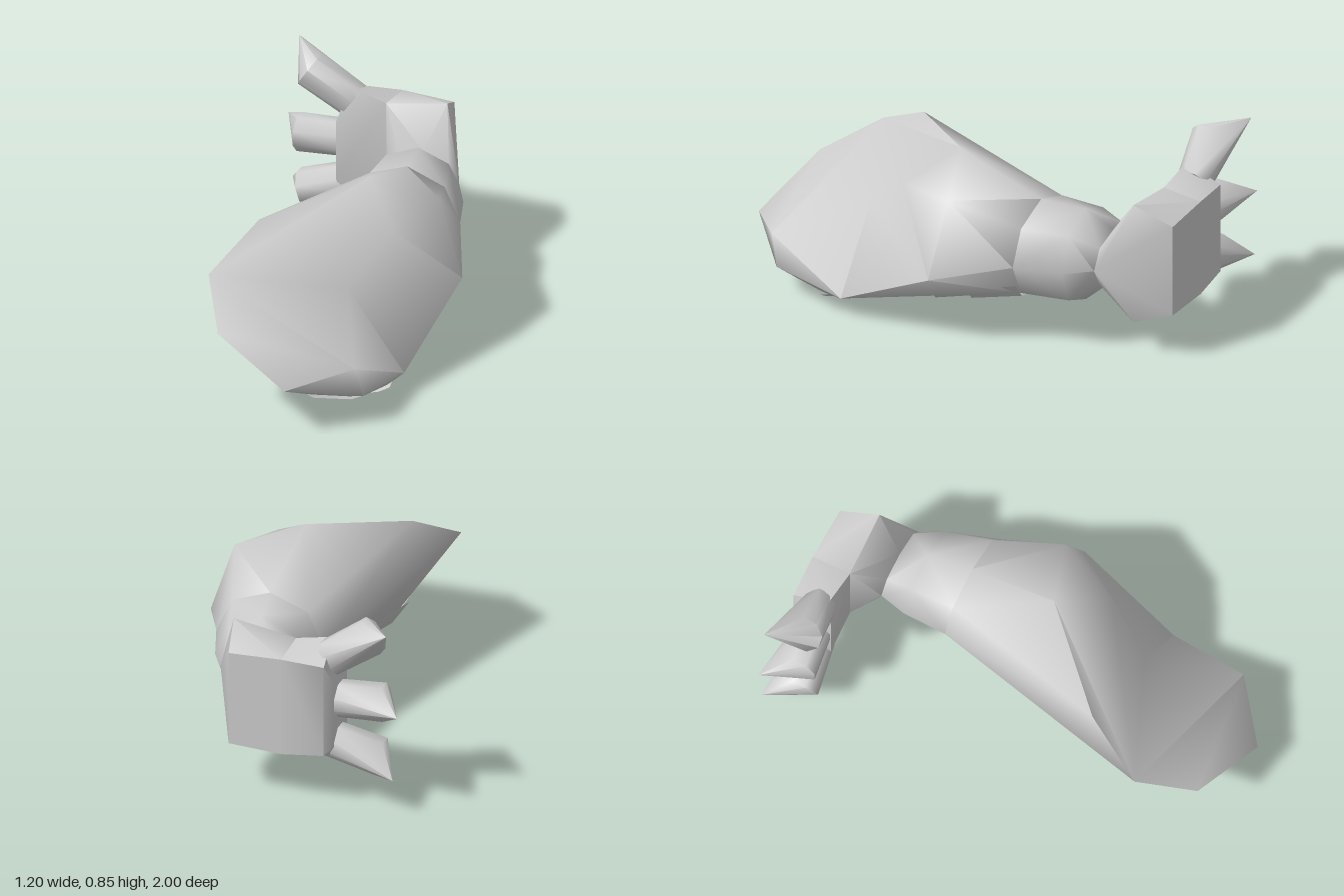
import * as THREE from 'three';
import { ConvexGeometry } from 'three/addons/geometries/ConvexGeometry.js';
import { mergeVertices, toCreasedNormals } from 'three/addons/utils/BufferGeometryUtils.js';

const V = (x, y, z) => new THREE.Vector3(x, y, z);
const material = new THREE.MeshStandardMaterial({ color: 0xcccccc, side: THREE.DoubleSide });

// Smooth mesh from a list of triangle corners
function smoothMesh(name, corners, crease) {
  const g = new THREE.BufferGeometry().setFromPoints(corners);
  const mesh = new THREE.Mesh(toCreasedNormals(mergeVertices(g, 1e-4), crease), material);
  mesh.name = name;
  return mesh;
}

// Triangle corners of the hull around a few points
function hull(points) {
  const p = new ConvexGeometry(points).getAttribute('position');
  return Array.from({ length: p.count }, (_, i) => new THREE.Vector3().fromBufferAttribute(p, i));
}

const solid = (name, points, crease = 1.1) => smoothMesh(name, hull(points), crease);

// Rounded eight-sided section of the arm at depth z
function section(z, x0, x1, y0, y1) {
  const pts = [];
  for (let i = 0; i < 8; i++) {
    const a = (i / 8) * Math.PI * 2, c = Math.cos(a), s = Math.sin(a);
    pts.push(V((x0 + x1) / 2 + c * (x1 - x0) / 2, (y0 + y1) / 2 + s * (y1 - y0) / 2, z));
  }
  return pts;
}

// U-shaped belly sections: depth, then five points across
const belly = [
  [0.76, [[-0.15, 0.4], [-0.02, 0.22], [0.25, 0.1], [0.42, 0.125], [0.47, 0.15]]],
  [0.53, [[-0.15, 0.35], [0, 0.13], [0.3, 0], [0.45, 0.06], [0.5, 0.09]]],
  [-0.38, [[-0.04, 0.4], [0.02, 0.27], [0.2, 0.21], [0.37, 0.26], [0.42, 0.33]]],
];
function bellyAt(z, flare) {
  const i = z > belly[1][0] ? 0 : 1;
  const [z0, a] = belly[i], [z1, b] = belly[i + 1], t = (z - z0) / (z1 - z0);
  return a.map(([x, y], k) => {
    const px = x + (b[k][0] - x) * t, py = y + (b[k][1] - y) * t;
    const d = V(px - 0.2, py - 0.45, 0).normalize().multiplyScalar(flare);
    return V(px + d.x, Math.max(0, py + d.y), z);
  });
}

// Overlapping belly plate, flared at its front edge
function plate(zFront, zBack) {
  const f = bellyAt(zFront, 0.015), b = bellyAt(zBack, 0.003), corners = [];
  for (const row of [f, b]) row[0].lerp(row[1], 0.5);
  for (let i = 0; i < 4; i++) corners.push(f[i], b[i], f[i + 1], f[i + 1], b[i], b[i + 1]);
  return smoothMesh('bellyPlate', corners, 1.1);
}

// Shoulder: rounded belly, and an upper face falling from a ridge to a low left edge
function shoulder(elbow) {
  const back = V(0.2, 0.79, 0.02), backLeft = V(0.48, 0.69, -0.08), left = V(0.6, 0.35, -0.05);
  const lowLeft = V(0.53, 0.1, 0.42), lowFront = V(0.485, 0.14, 0.76);
  const frontLeft = V(0.46, 0.28, 0.8), tip = V(0.22, 0.22, 1), lip = V(-0.13, 0.38, 0.9);
  const right = V(-0.27, 0.53, 0.67), backRight = V(-0.15, 0.69, 0.4);
  const rim = [back, backLeft, left, lowLeft, lowFront, frontLeft, tip, lip, right, backRight];
  const onRim = (p) => rim.some((r) => r.distanceTo(p) < 1e-4);

  const shell = hull([...rim, ...bellyAt(0.76, 0), ...bellyAt(0.53, 0), ...elbow]);
  const corners = [];
  for (let i = 0; i < shell.length; i += 3) {
    const tri = shell.slice(i, i + 3);
    if (!tri.every(onRim)) corners.push(...tri);
  }
  const ridge = V(0.38, 0.65, 0.2), hollow = V(0.27, 0.45, 0.42);
  corners.push(
    right, lip, frontLeft, lip, tip, frontLeft, tip, lowFront, frontLeft,
    right, frontLeft, hollow, right, hollow, ridge,
    right, ridge, back, right, back, backRight,
    frontLeft, lowFront, lowLeft, frontLeft, lowLeft, hollow,
    hollow, lowLeft, left, hollow, left, ridge,
    ridge, left, backLeft, ridge, backLeft, back,
  );
  return smoothMesh('shoulder', corners, 1.2);
}

// Stubby finger with a pointed claw hooking backwards
function finger(base, end, tip) {
  const d = end.clone().sub(base).normalize();
  const n = V(-d.y, d.x, 0).normalize();
  const pts = [tip];
  for (const [c, r, rz] of [[base, 0.083, 0.075], [end, 0.086, 0.08]]) {
    for (let i = 0; i < 8; i++) {
      const a = ((i + 0.5) / 8) * Math.PI * 2;
      pts.push(c.clone().addScaledVector(n, Math.cos(a) * r).add(V(0, 0, Math.sin(a) * rz)));
    }
  }
  return solid('finger', pts);
}

export function createModel() {
  const model = new THREE.Group();
  model.name = 'arm';

  const elbow = section(-0.38, -0.04, 0.45, 0.21, 0.65);
  model.add(shoulder(elbow));

  // Forearm
  const wrist = section(-0.7, -0.02, 0.31, 0.31, 0.56);
  model.add(solid('forearm', [...elbow, ...section(-0.58, -0.04, 0.38, 0.2, 0.64), ...wrist]));

  // Belly plates
  const cuts = [0.76, 0.53, 0.29, 0.02, -0.15, -0.38];
  for (let i = 0; i < cuts.length - 1; i++) model.add(plate(cuts[i], cuts[i + 1]));

  // Hand: back of the hand bending sideways into the palm
  const bend = [
    V(-0.08, 0.69, -0.82), V(-0.08, 0.21, -0.82), V(-0.08, 0.67, -1), V(-0.08, 0.22, -1),
  ];
  model.add(solid('handBack', [
    ...wrist, ...bend,
    V(0.2, 0.74, -0.83), V(0.2, 0.17, -0.83), V(0.16, 0.66, -1), V(0.16, 0.23, -1),
  ]));
  model.add(solid('palm', [
    ...bend,
    V(-0.25, 0.73, -0.83), V(-0.2, 0.16, -0.83), V(-0.28, 0.18, -0.83),
    V(-0.27, 0.66, -0.99), V(-0.27, 0.24, -0.99),
    V(-0.3, 0.57, -0.79), V(-0.3, 0.3, -0.79), V(-0.3, 0.58, -0.95), V(-0.3, 0.27, -0.95),
  ]));

  // Three fingers
  model.add(finger(V(-0.25, 0.65, -0.87), V(-0.44, 0.775, -0.84), V(-0.55, 0.85, -0.98)));
  model.add(finger(V(-0.27, 0.465, -0.87), V(-0.49, 0.465, -0.84), V(-0.6, 0.47, -0.98)));
  model.add(finger(V(-0.26, 0.27, -0.87), V(-0.47, 0.205, -0.84), V(-0.58, 0.17, -0.98)));

  return model;
}
